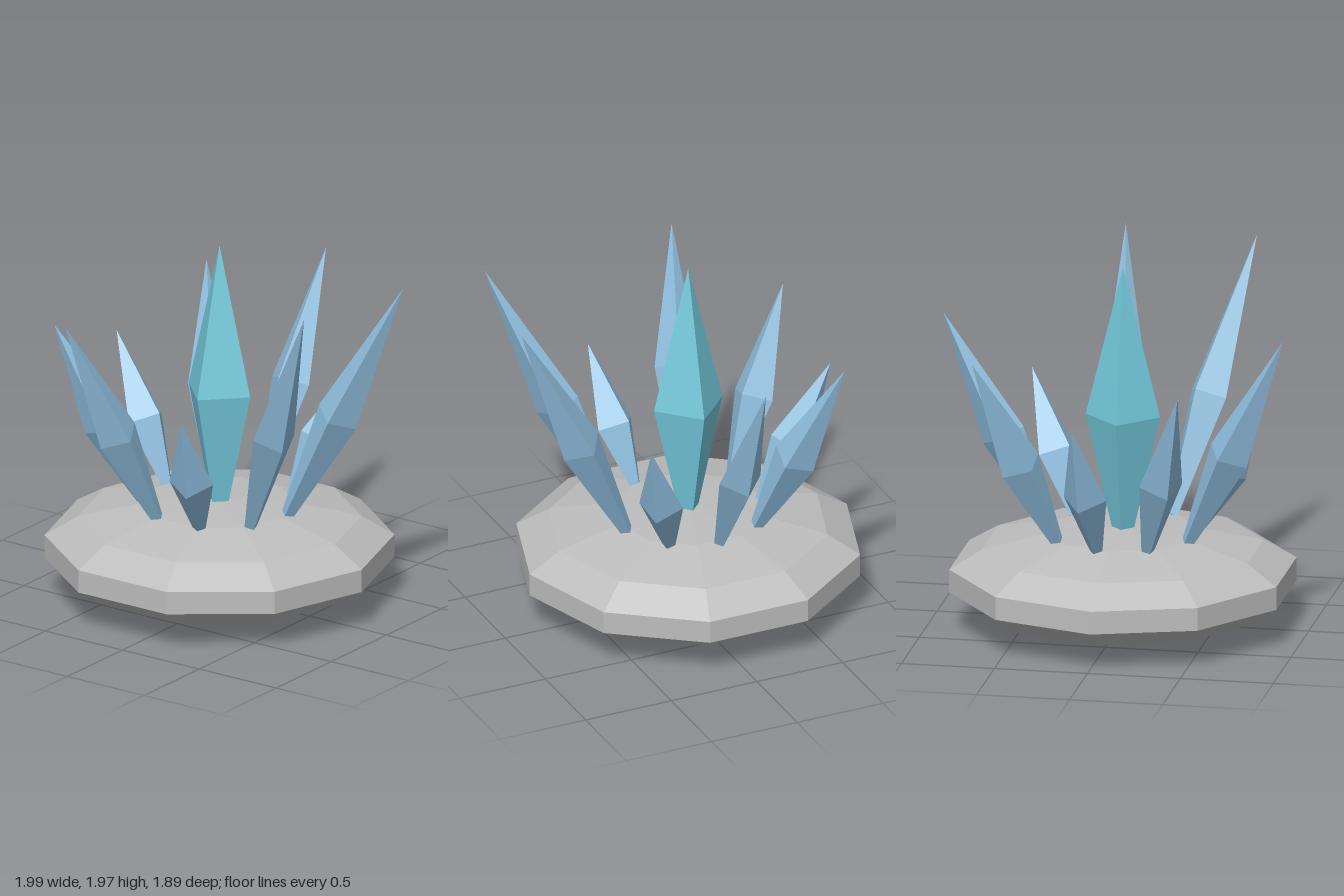
import * as THREE from 'three';

const mat = (name, color) => {
  const m = new THREE.MeshStandardMaterial({ color });
  m.name = name;
  return m;
};

// Faceted solid of revolution from [radius, height] pairs, bottom to top
function facetedLathe(profile, sides, start = 0) {
  const points = profile.map(([r, y]) => new THREE.Vector2(r, y));
  const geo = new THREE.LatheGeometry(points, sides, start).toNonIndexed();
  geo.computeVertexNormals();
  return geo;
}

// Four-sided shard: narrow foot, widest ring at 43% of the length, sharp tip
const shard = (radius, length) =>
  facetedLathe([[0, 0], [radius * 0.3, 0], [radius, length * 0.43], [0, length]], 4);

export function createModel() {
  const model = new THREE.Group();
  model.name = 'crystalCluster';
  const stone = mat('stoneGrey', 0xbdbdbd);
  const blue = mat('iceBlue', 0x90bfdf);
  const teal = mat('teal', 0x74cadd);

  const cluster = new THREE.Group();
  cluster.name = 'cluster';
  cluster.position.set(-0.075, 0, 0.015);
  model.add(cluster);

  const add = (name, geo, material) => {
    const mesh = new THREE.Mesh(geo, material);
    mesh.name = name;
    cluster.add(mesh);
    return mesh;
  };

  // Ten-sided stone base with a corner on the x axis
  add('stoneBase', facetedLathe([
    [0, 0], [0.405, 0.03], [0.75, 0.105], [0.925, 0.215],
    [0.925, 0.34], [0.75, 0.445], [0.405, 0.522], [0, 0.545],
  ], 10, Math.PI / 2), stone);

  // Upright crystal in the middle
  add('centreCrystal', shard(0.2, 1.43), teal).position.y = 0.54;

  // Ring of nine crystals leaning outward, from the back towards +x
  const tilt = Math.atan(0.492);
  const tipHeights = [1.67, 1.25, 1.9, 1.91, 1.23, 1.71, 1.49, 1.29, 1.56];
  tipHeights.forEach((tip, i) => {
    const angle = Math.PI - (i * Math.PI * 2) / tipHeights.length;
    const length = (tip - 0.52) / Math.cos(tilt);
    const crystal = add(`outerCrystal${i + 1}`, shard(0.12, length), blue);
    crystal.position.set(0.4 * Math.sin(angle), 0.52, 0.4 * Math.cos(angle));
    crystal.rotation.set(tilt, angle, 0, 'YXZ');
  });

  return model;
}
